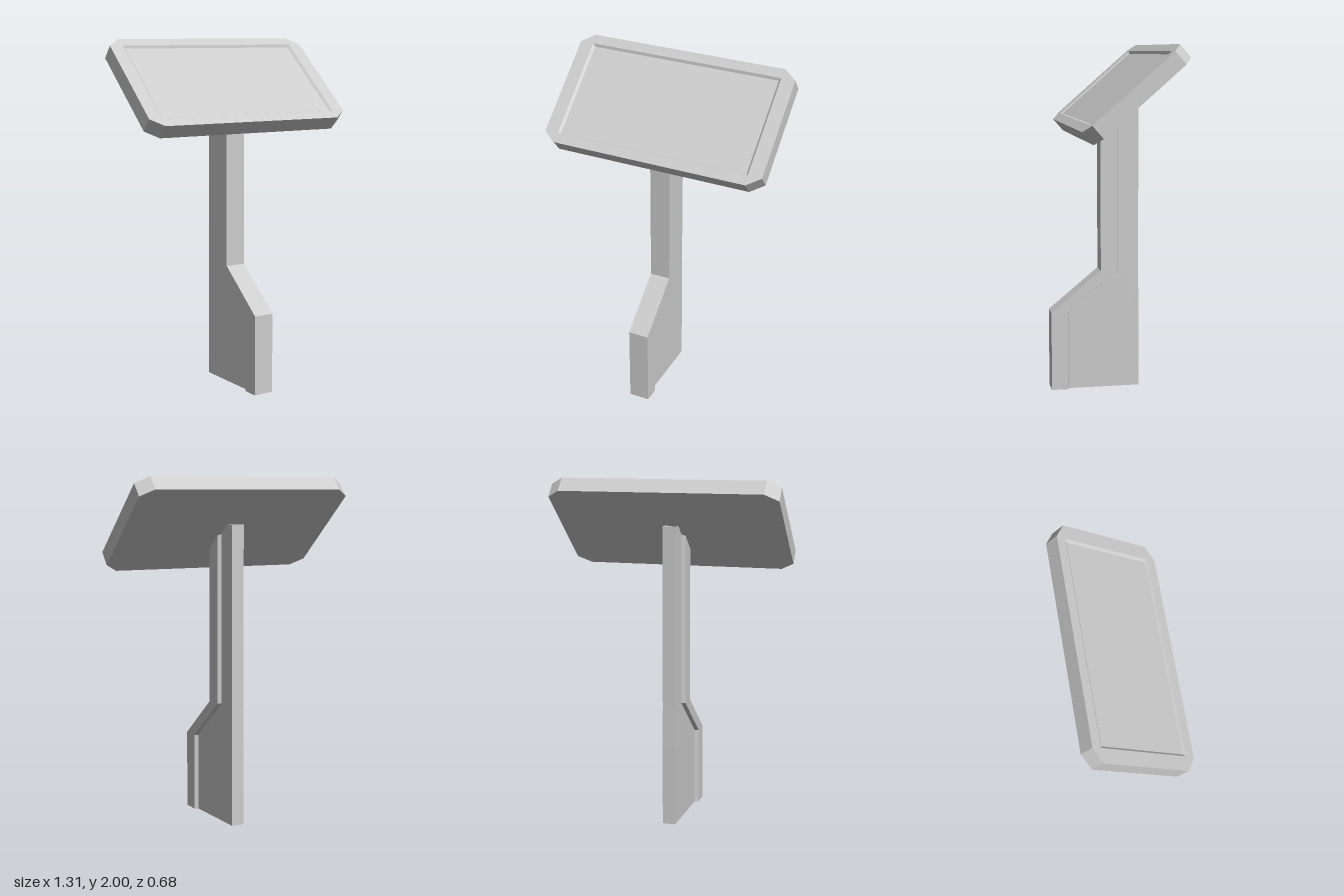
import * as THREE from 'three';

const material = new THREE.MeshStandardMaterial({ color: 0xcccccc, flatShading: true });

// Skins rings of [x, y, z] points; caps are triangulated on the two given axes.
function loft(rings, [u, v], capStart, capEnd) {
  const pos = [];
  const tri = (a, b, c) => pos.push(...a, ...b, ...c);
  for (let r = 0; r < rings.length - 1; r++) {
    const lo = rings[r], hi = rings[r + 1];
    lo.forEach((a, i) => {
      const j = (i + 1) % lo.length;
      tri(a, lo[j], hi[j]);
      tri(a, hi[j], hi[i]);
    });
  }
  const cap = (ring, sign) => {
    const flat = ring.map((p) => new THREE.Vector2(p[u], p[v]));
    for (const [i, j, k] of THREE.ShapeUtils.triangulateShape(flat, [])) {
      const area = THREE.ShapeUtils.area([flat[i], flat[j], flat[k]]);
      if (area * sign > 0) tri(ring[i], ring[j], ring[k]);
      else tri(ring[i], ring[k], ring[j]);
    }
  };
  if (capStart) cap(rings[0], -1);
  if (capEnd) cap(rings[rings.length - 1], 1);
  const geo = new THREE.BufferGeometry();
  geo.setAttribute('position', new THREE.Float32BufferAttribute(pos, 3));
  geo.computeVertexNormals();
  return geo;
}

function addMesh(parent, name, geo) {
  const mesh = new THREE.Mesh(geo, material);
  mesh.name = name;
  parent.add(mesh);
}

// Rectangle with optional cut corners, counter-clockwise at depth z
function plate(w, h, cx, cy, z) {
  if (!cx) return [[w, -h, z], [w, h, z], [-w, h, z], [-w, -h, z]];
  return [
    [w, -h + cy, z], [w, h - cy, z], [w - cx, h, z], [-w + cx, h, z],
    [-w, h - cy, z], [-w, -h + cy, z], [-w + cx, -h, z], [w - cx, -h, z],
  ];
}

// Post: a wide front strip stepping back to a narrower rear web
function postGeometry() {
  const section = (front, back, height) => {
    const half = [
      [0.06, front], [0.06, front - 0.095], [0.038, front - 0.105],
      [0.038, -0.112], [0.038, back],
    ];
    const side = (s) => half.map(([x, z]) => [s * x - 0.01, height(z), z]);
    return [...side(1), ...side(-1).reverse()];
  };
  // The top follows the underside of the panel and ends level at the rear
  const underPanel = (z) => Math.min(1.735, 1.48 + (0.18 - z) * 0.875);
  return loft([
    section(0.34, -0.18, () => 0),
    section(0.34, -0.18, () => 0.46),
    section(0.05, -0.175, () => 0.7),
    section(0.05, -0.175, underPanel),
  ], [2, 0], true, true);
}

export function createModel() {
  const model = new THREE.Group();
  model.name = 'signStand';
  addMesh(model, 'post', postGeometry());

  // Tilted panel, built facing +z with its front face at z = 0
  const panel = new THREE.Group();
  panel.name = 'panel';
  const outer = (z) => plate(0.655, 0.3455, 0.075, 0.056, z);
  addMesh(panel, 'panelShell', loft([outer(-0.092), outer(0)], [0, 1], true, false));

  // Flat rim around the recess
  const rimEdge = plate(0.575, 0.29, 0, 0, 0);
  const toVectors = (ring) => ring.map(([x, y]) => new THREE.Vector2(x, y));
  const rim = new THREE.Shape(toVectors(outer(0)));
  rim.holes.push(new THREE.Path(toVectors(rimEdge)));
  addMesh(panel, 'panelRim', new THREE.ShapeGeometry(rim));

  // Shallow recess with sloped walls
  const floor = plate(0.562, 0.277, 0, 0, -0.0115);
  addMesh(panel, 'displayRecess', loft([rimEdge, floor], [0, 1], false, true));

  panel.position.set(0, 1.7725, -0.02);
  panel.rotation.x = -0.852;
  model.add(panel);
  return model;
}
